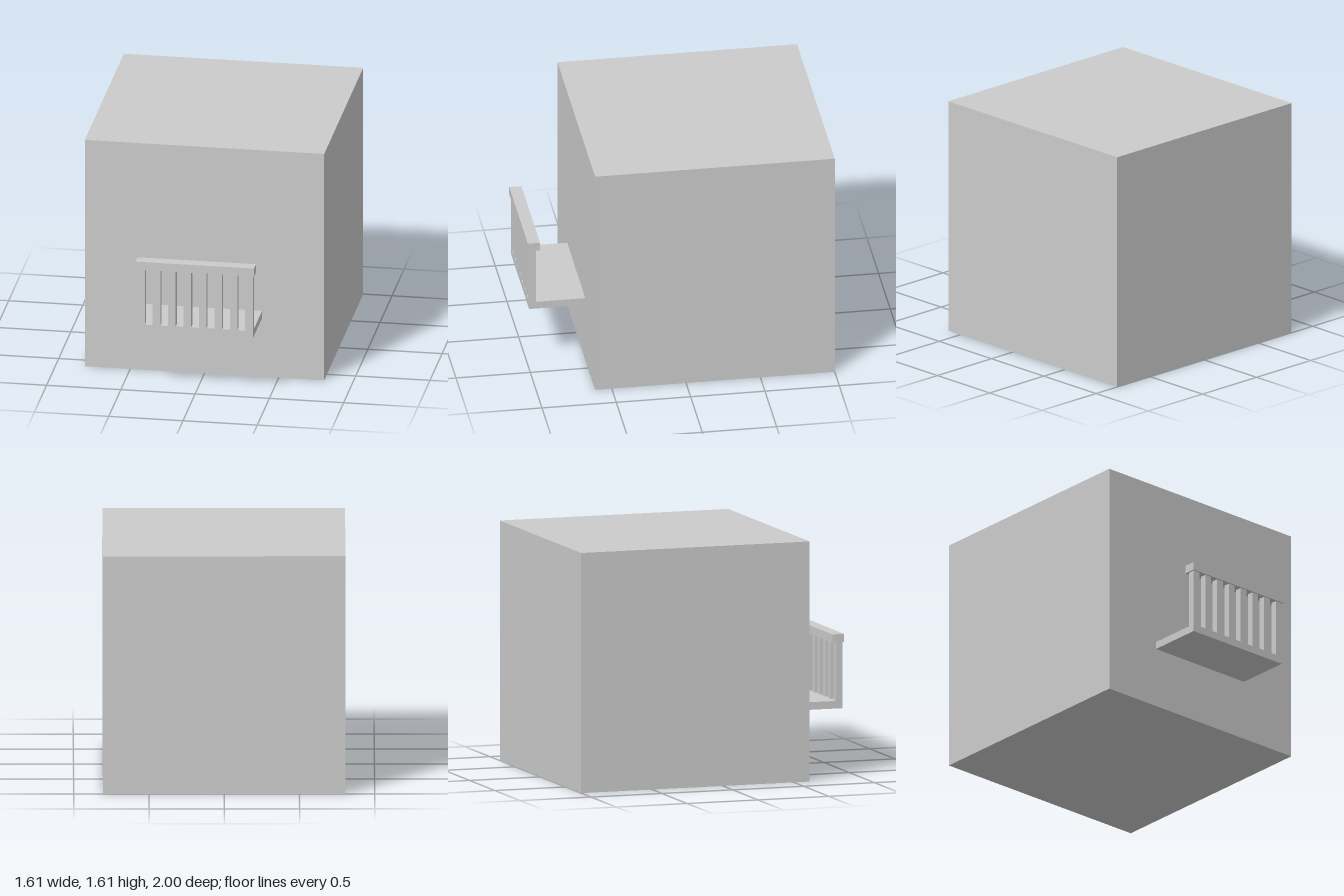
import * as THREE from 'three';

const material = new THREE.MeshStandardMaterial({ color: 0xcccccc, flatShading: true });

// Box given by its lower and upper limits on each axis
function block(name, [x0, x1], [y0, y1], [z0, z1]) {
  const mesh = new THREE.Mesh(new THREE.BoxGeometry(x1 - x0, y1 - y0, z1 - z0), material);
  mesh.name = name;
  mesh.position.set((x0 + x1) / 2, (y0 + y1) / 2, (z0 + z1) / 2);
  return mesh;
}

export function createModel() {
  const model = new THREE.Group();
  model.name = 'houseWithBalcony';

  // Building
  const wallZ = 0.612;
  model.add(block('building', [-0.806, 0.806], [0, 1.612], [-1, wallZ]));

  // Balcony: floor slab, balusters flush with its front edge, handrail
  const balcony = new THREE.Group();
  balcony.name = 'balcony';
  const left = -0.392, width = 0.78;
  const floorTop = 0.469, railBottom = 0.862, frontZ = 0.99;
  balcony.add(block('balconyFloor', [left, left + width], [0.418, floorTop], [wallZ, frontZ]));

  // Eight balusters, each as wide as the gaps between them
  const count = 8, step = width / (2 * count - 1);
  for (let i = 0; i < count; i++) {
    const x = left + 2 * i * step;
    balcony.add(block('baluster', [x, x + step], [floorTop, railBottom], [0.945, frontZ]));
  }

  balcony.add(block('handrail', [-0.401, 0.397], [railBottom, 0.918], [0.918, 1]));
  model.add(balcony);
  return model;
}
